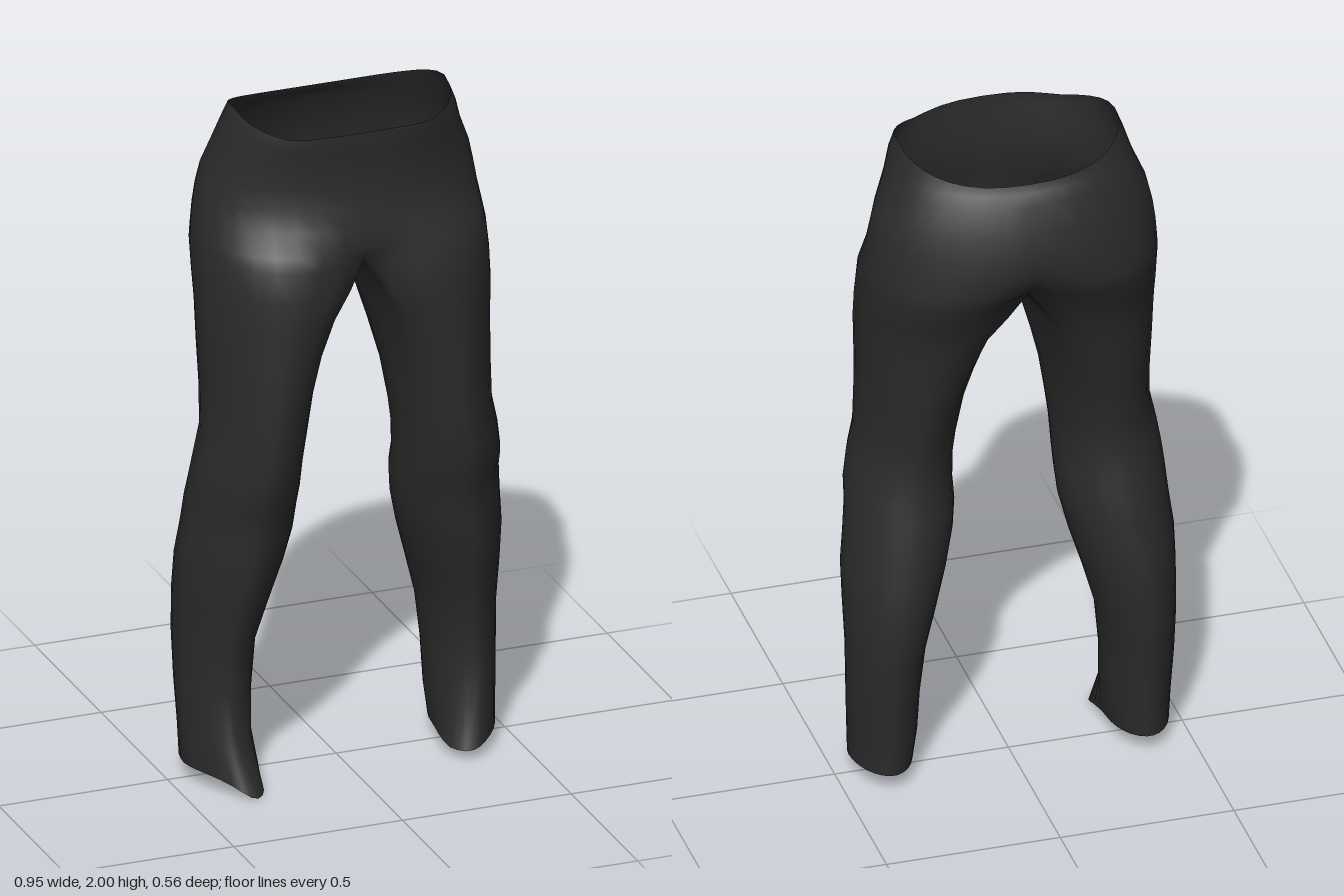
import * as THREE from 'three';
import { mergeVertices } from 'three/addons/utils/BufferGeometryUtils.js';

// Hip sections: [y, inner x, outer x, front z, back z, hip-to-leg blend, centre dent, roundness]
const HIPS = [
  [2.0, 0, 0.312, 0.24, -0.195, 0, 0, 0.84],
  [1.95, 0, 0.332, 0.24, -0.206, 0, 0, 0.87],
  [1.88, 0, 0.354, 0.232, -0.232, 0, 0, 0.93],
  [1.8, 0, 0.388, 0.23, -0.262, 0, 0, 1],
  [1.74, 0, 0.402, 0.238, -0.278, 0, 0, 1.02],
  [1.68, 0, 0.411, 0.262, -0.294, 0, 0.05, 1.02],
  [1.62, 0, 0.418, 0.308, -0.308, 0, 0.2, 1],
  [1.58, 0, 0.422, 0.335, -0.313, 0, 0.36, 0.98],
];
// Leg sections: the same without roundness
const LEGS = [
  [1.5, 0.026, 0.426, 0.31, -0.24, 0.35, 0.22],
  [1.42, 0.05, 0.427, 0.293, -0.188, 0.65, 0.12],
  [1.3, 0.085, 0.423, 0.287, -0.165, 0.9, 0.03],
  [1.18, 0.116, 0.42, 0.284, -0.137, 1, 0],
  [1.06, 0.136, 0.422, 0.276, -0.114, 1, 0],
  [0.98, 0.146, 0.44, 0.268, -0.11, 1, 0],
  [0.9, 0.15, 0.453, 0.258, -0.12, 1, 0],
  [0.84, 0.15, 0.457, 0.232, -0.138, 1, 0],
  [0.76, 0.158, 0.464, 0.222, -0.15, 1, 0],
  [0.66, 0.182, 0.475, 0.21, -0.168, 1, 0],
  [0.55, 0.215, 0.475, 0.185, -0.179, 1, 0],
  [0.42, 0.25, 0.472, 0.147, -0.172, 1, 0],
  [0.28, 0.264, 0.468, 0.143, -0.155, 1, 0],
  [0.15, 0.268, 0.462, 0.15, -0.138, 1, 0],
  [0.05, 0.282, 0.457, 0.16, -0.135, 1, 0],
];
const OUTER = 18, INNER = 9, RING = OUTER + INNER;
const SPLIT = THREE.MathUtils.degToRad(125);
const power = (s, p) => Math.sign(s) * Math.abs(s) ** p;

// The legs are flattest at the outer front and slightly flattened elsewhere
function legRoundness(c, s) {
  if (c > 0) return s > 0 ? 1.28 : 1.08;
  return 1.04;
}

// Unit section point: u runs from inseam (0) to outside (1), v from back (-1) to front (1)
function sectionPoint(j, blend, dent, p) {
  let hu, hv, a;
  if (j <= OUTER) {
    const t = Math.PI * j / OUTER;
    hu = j === OUTER ? 0 : Math.sin(t) ** p;
    hv = power(Math.cos(t), p);
    a = SPLIT * (1 - 2 * j / OUTER);
  } else {
    const k = (j - OUTER) / INNER;
    hu = 0;
    hv = -1 + 2 * k;
    a = -SPLIT - k * 2 * (Math.PI - SPLIT);
  }
  hv *= 1 - dent * (1 - hu) ** 2;
  const c = Math.cos(a), s = Math.sin(a), q = legRoundness(c, s);
  const lu = 0.5 + 0.5 * power(c, q), lv = power(s, q);
  return [hu + (lu - hu) * blend, hv + (lv - hv) * blend];
}

// Waistband is high at the sides, dips towards the back and beside the front centre
function waistDrop(v) {
  if (v < 0) return 0.07 * (-v) ** 1.5;
  return Math.min(0.05, 0.06 * v ** 1.3) - 0.07 * Math.max(0, v - 0.8);
}

function createHalf(side, positions, indices) {
  const base = positions.length / 3;
  const rows = [...HIPS, ...LEGS];
  rows.forEach(([y, xi, xo, zf, zb, blend, dent, p = 0.95], r) => {
    for (let j = 0; j < RING; j++) {
      const [u, v] = sectionPoint(j, blend, dent, p);
      let px = xi + (xo - xi) * u, py = y, pz = (zf + zb) / 2 + v * (zf - zb) / 2;
      // The waist drop fades out over the first two rows
      if (r < 2) py -= waistDrop(v) * (r === 0 ? 1 : 0.6);
      // Crotch seam sags between front and back
      if (r === HIPS.length - 1 && j > OUTER) py -= 0.05 * (1 - (v / (1 - dent)) ** 2);
      // Hem droops into a front inner tip
      if (r === rows.length - 1) {
        const w = Math.min(1, Math.max(0, v) * (1 - u) / 0.6);
        px -= 0.025 * w;
        py -= (side < 0 ? 0.05 : 0.022) * w * w;
        pz += (side < 0 ? 0.065 : 0.03) * w;
      }
      positions.push(side * px, py, pz);
    }
  });
  // The hips only have the outer arc; the legs are full rings
  for (let r = 0; r < rows.length - 1; r++) {
    const count = r < HIPS.length - 1 ? OUTER : RING;
    for (let j = 0; j < count; j++) {
      const a = base + r * RING + j, b = base + r * RING + (j + 1) % RING;
      const c = a + RING, d = b + RING;
      if (side > 0) indices.push(a, c, b, b, c, d);
      else indices.push(a, b, c, b, d, c);
    }
  }
}

export function createModel() {
  const group = new THREE.Group();
  group.name = 'trousers';
  const cloth = new THREE.MeshStandardMaterial({ color: 0x2b2b2b, side: THREE.DoubleSide });
  cloth.name = 'black cloth';

  // Both halves share the centre seam, so the cloth is one smooth surface
  const positions = [], indices = [];
  for (const side of [1, -1]) createHalf(side, positions, indices);
  let geometry = new THREE.BufferGeometry();
  geometry.setAttribute('position', new THREE.Float32BufferAttribute(positions, 3));
  geometry.setIndex(indices);
  geometry = mergeVertices(geometry, 1e-4);
  geometry.computeVertexNormals();

  const mesh = new THREE.Mesh(geometry, cloth);
  mesh.name = 'hipsAndLegs';
  group.add(mesh);
  return group;
}
